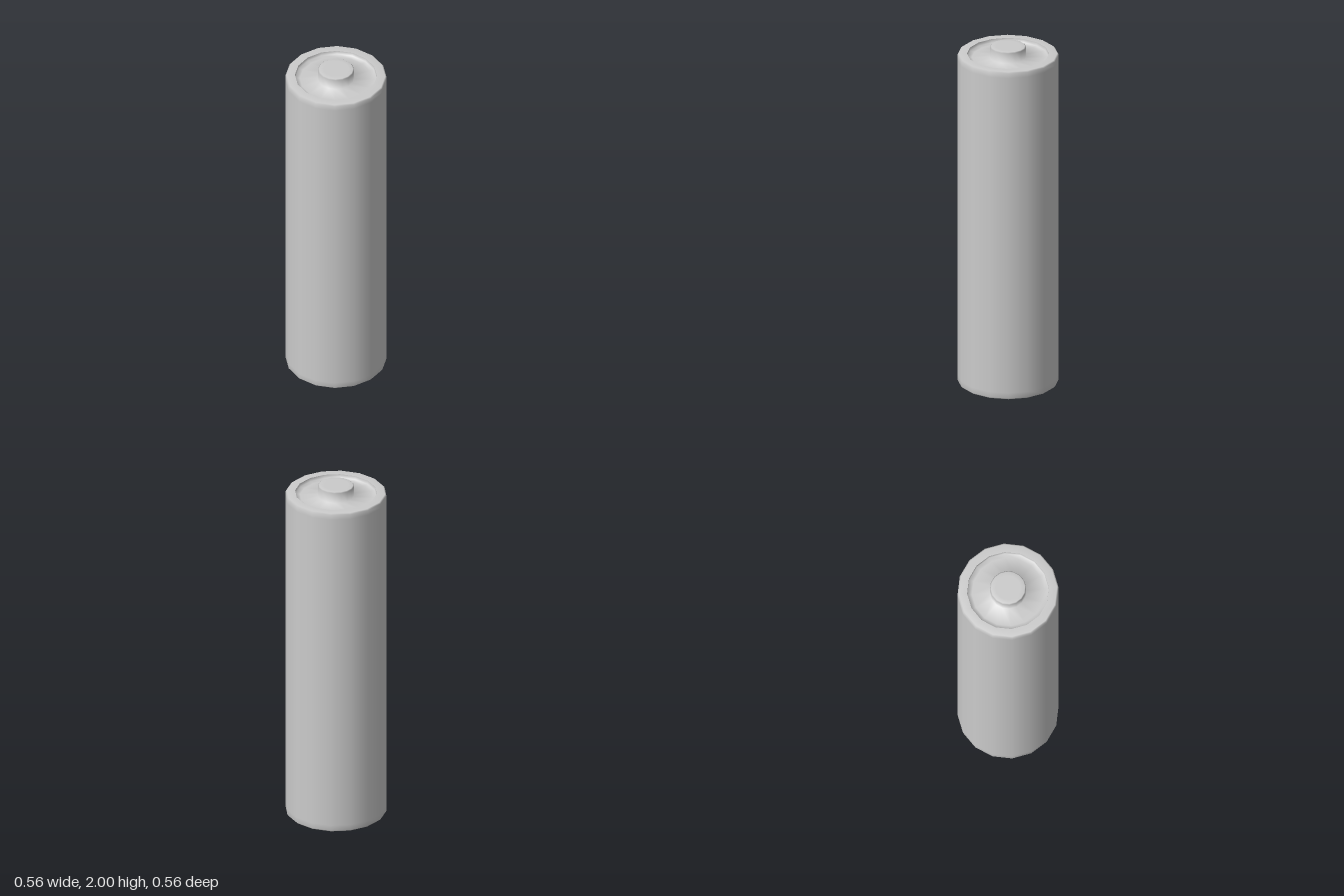
import * as THREE from 'three';

const SIDES = 16;

// Revolve a [radius, height] profile, listed from the bottom centre outward and up
function turned(name, profile) {
  const points = profile.map(([r, y]) => new THREE.Vector2(r, y));
  const material = new THREE.MeshStandardMaterial({ color: 0xcccccc, side: THREE.DoubleSide });
  const mesh = new THREE.Mesh(new THREE.LatheGeometry(points, SIDES), material);
  mesh.name = name;
  return mesh;
}

export function createModel() {
  const model = new THREE.Group();
  model.name = 'batteryCell';

  // Recessed contact disc under the cell, with the inner wall of the lower rim
  model.add(turned('bottomContact', [
    [0, 0.02], [0.185, 0.02], [0.2, 0.026], [0.222, 0.022], [0.227, 0],
  ]));

  // Outer casing with softened edges, rolled over into both rims
  model.add(turned('casing', [
    [0.227, 0], [0.272, 0], [0.28, 0.008], [0.28, 0.04],
    [0.28, 1.92], [0.28, 1.948], [0.272, 1.955], [0.227, 1.955],
  ]));

  // Sunken top plate rising into the raised button
  model.add(turned('topTerminal', [
    [0.227, 1.955], [0.225, 1.935], [0.2, 1.932], [0.1, 1.935],
    [0.1, 1.995], [0.094, 2], [0.07, 2], [0, 2],
  ]));

  return model;
}
